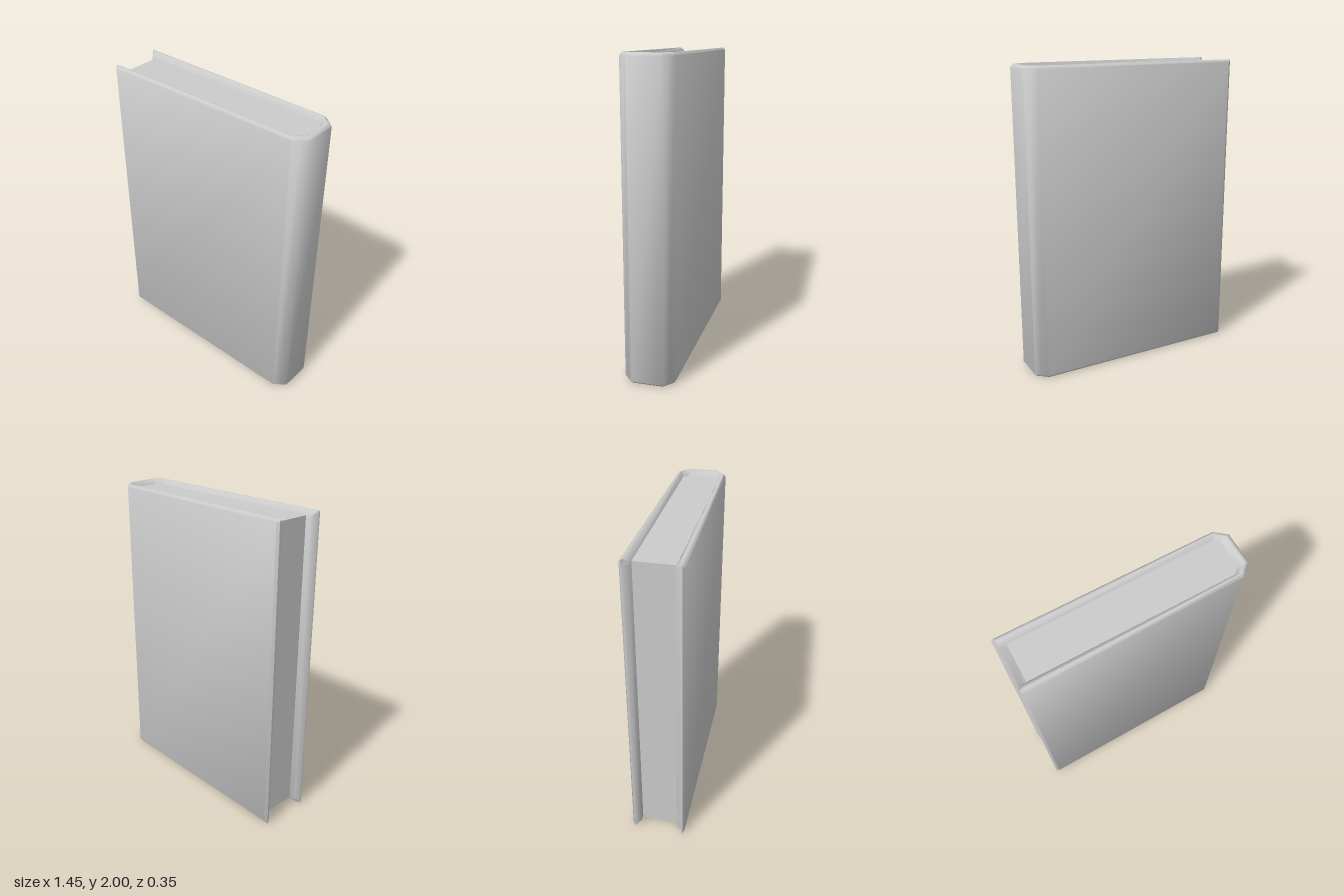
import * as THREE from 'three';
import { toCreasedNormals } from 'three/addons/utils/BufferGeometryUtils.js';

// Outer and inner points [x, z] of the front half of the case, fore edge to spine
const OUTER = [[-0.723, 0.166], [-0.705, 0.177], [0.65, 0.163], [0.688, 0.131], [0.723, 0.102]];
const INNER = [[-0.723, 0.154], [-0.695, 0.122], [0.625, 0.12], [0.64, 0.101], [0.66, 0.086]];

// Board section: [how far from outer to inner, height], with bevelled rims
const SECTION = [[0, 0.016], [0, 1.984], [0.28, 2], [0.48, 2], [1, 1.968], [1, 0.032], [0.48, 0], [0.28, 0]];

const mirrored = (pts) => [...pts, ...pts.map(([x, z]) => [x, -z]).reverse()];

// Case: the board section swept round front, spine and back
function coverGeometry() {
  const outer = mirrored(OUTER);
  const inner = mirrored(INNER);
  const n = SECTION.length;
  const pos = [];
  const index = [];
  outer.forEach(([ox, oz], s) => {
    const [ix, iz] = inner[s];
    for (const [t, y] of SECTION) pos.push(ox + (ix - ox) * t, y, oz + (iz - oz) * t);
  });
  const last = outer.length - 1;
  for (let s = 0; s < last; s++) {
    for (let j = 0; j < n; j++) {
      const k = (j + 1) % n;
      const a = s * n + j, b = a + n, c = (s + 1) * n + k, d = s * n + k;
      index.push(a, b, c, a, c, d);
    }
  }
  // Close the two fore edges
  for (let j = 1; j < n - 1; j++) {
    index.push(0, j, j + 1);
    index.push(last * n, last * n + j + 1, last * n + j);
  }
  const geo = new THREE.BufferGeometry();
  geo.setAttribute('position', new THREE.Float32BufferAttribute(pos, 3));
  geo.setIndex(index);
  return toCreasedNormals(geo, 0.9);
}

// Page block: set back from the boards, corners cut to fit inside the spine
function pagesGeometry() {
  const outline = mirrored([[-0.66, 0.121], [0.625, 0.121], [0.662, 0.086]]);
  const shape = new THREE.Shape(outline.map(([x, z]) => new THREE.Vector2(x, z)));
  const geo = new THREE.ExtrudeGeometry(shape, { depth: 1.94, bevelEnabled: false });
  geo.rotateX(-Math.PI / 2);
  geo.translate(0, 0.03, 0);
  return geo;
}

export function createModel() {
  const book = new THREE.Group();
  book.name = 'book';
  const material = new THREE.MeshStandardMaterial({ color: 0xcccccc });
  const add = (name, geometry) => {
    const mesh = new THREE.Mesh(geometry, material);
    mesh.name = name;
    book.add(mesh);
  };
  add('cover', coverGeometry());
  add('pages', pagesGeometry());
  return book;
}
